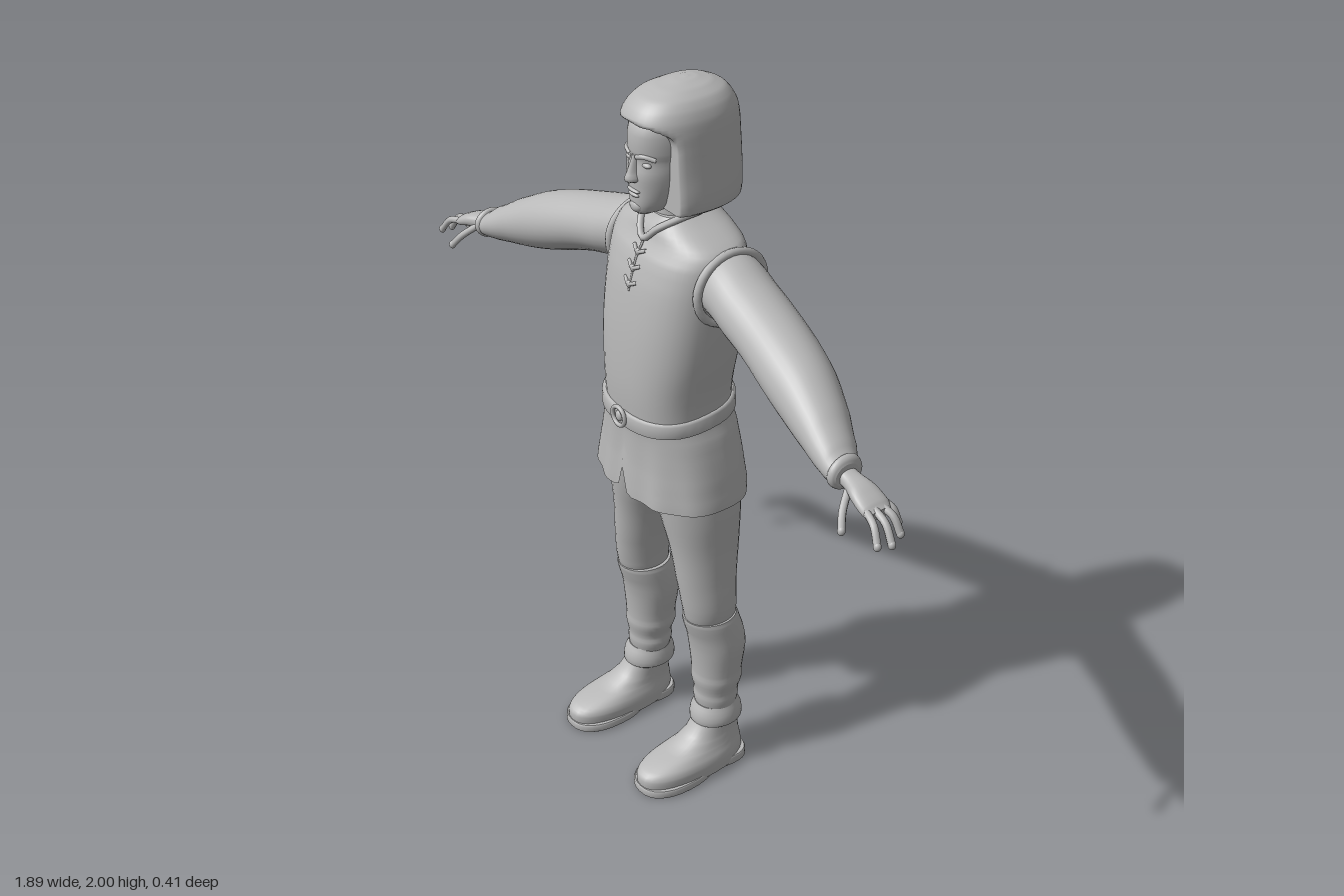
import * as THREE from 'three';

const grey = new THREE.MeshStandardMaterial({ color: 0xb8b8b8, side: THREE.DoubleSide });
grey.name = 'plain grey';

// Smooth interpolation through section rows
function refine(rows, sub) {
  const out = [];
  for (let i = 0; i < rows.length - 1; i++) {
    const p = [rows[Math.max(i - 1, 0)], rows[i], rows[i + 1], rows[Math.min(i + 2, rows.length - 1)]];
    for (let k = 0; k < sub; k++) {
      const t = k / sub;
      out.push(p[1].map((b, j) => {
        const a = p[0][j], c = p[2][j], d = p[3][j];
        if (j === 0) return b + (c - b) * t;
        return b + 0.5 * t * (c - a + t * (2 * a - 5 * b + 4 * c - d + t * (3 * (b - c) + d - a)));
      }));
    }
  }
  out.push(rows[rows.length - 1]);
  return out;
}

// Loft of rounded sections. Row: [position on axis, min1, max1, min2, max2]
// axis 'y' -> x,z extents; axis 'x' -> y,z extents
function loft(rows, { axis = 'y', n = 2, sub = 3, seg = 32, caps = true, mod = null } = {}) {
  const rings = refine(rows, sub), pos = [], idx = [];
  const bend = (v) => Math.sign(v) * Math.pow(Math.abs(v), 2 / n);
  const put = (r, u, w) => {
    const a = (r[1] + r[2]) / 2 + u * (r[2] - r[1]) / 2;
    const b = (r[3] + r[4]) / 2 + w * (r[4] - r[3]) / 2;
    const p = axis === 'y' ? new THREE.Vector3(a, r[0], b) : new THREE.Vector3(r[0], a, b);
    if (mod) mod(p, u, w);
    pos.push(p.x, p.y, p.z);
  };
  const s = axis === 'y' ? 1 : -1;
  const ring = (r) => {
    for (let j = 0; j < seg; j++) {
      const t = j / seg * Math.PI * 2;
      put(r, s * bend(Math.sin(t)), bend(Math.cos(t)));
    }
  };
  rings.forEach(ring);
  for (let i = 0; i < rings.length - 1; i++) for (let j = 0; j < seg; j++) {
    const a = i * seg + j, b = i * seg + (j + 1) % seg;
    idx.push(a, b, b + seg, a, b + seg, a + seg);
  }
  if (caps) [rings[0], rings[rings.length - 1]].forEach((r, end) => {
    const base = pos.length / 3;
    ring(r);
    put(r, 0, 0);
    for (let j = 0; j < seg; j++) {
      const a = base + j, b = base + (j + 1) % seg, c = base + seg;
      if (end) idx.push(a, b, c); else idx.push(b, a, c);
    }
  });
  const g = new THREE.BufferGeometry();
  g.setAttribute('position', new THREE.Float32BufferAttribute(pos, 3));
  g.setIndex(idx);
  g.computeVertexNormals();
  return g;
}

const tube = (pts, r, closed = false, seg = 16) => new THREE.TubeGeometry(
  new THREE.CatmullRomCurve3(pts.map((p) => new THREE.Vector3(...p)), closed), seg, r, 8, closed);

const ball = (x, y, z, a, b, c) => new THREE.SphereGeometry(1, 16, 12).scale(a, b, c).translate(x, y, z);

function mirrored(g) {
  const m = g.clone().scale(-1, 1, 1), ix = m.index;
  for (let i = 0; i < ix.count; i += 3) {
    const a = ix.getX(i);
    ix.setX(i, ix.getX(i + 2));
    ix.setX(i + 2, a);
  }
  return m;
}

export function createModel() {
  const model = new THREE.Group();
  const add = (name, g) => {
    const m = new THREE.Mesh(g, grey);
    m.name = name;
    model.add(m);
  };
  const pair = (name, g) => { add('left ' + name, g); add('right ' + name, mirrored(g)); };

  // Head, neck and face
  add('neck', loft([[1.58, -.06, .06, -.13, .03], [1.66, -.054, .054, -.11, .02], [1.76, -.055, .055, -.1, .02]]));
  add('head', loft([
    [1.684, -.02, .02, .03, .078], [1.692, -.036, .036, -.02, .087], [1.715, -.053, .053, -.07, .09],
    [1.75, -.066, .066, -.11, .09], [1.79, -.073, .073, -.13, .091], [1.825, -.076, .076, -.14, .085],
    [1.85, -.078, .078, -.14, .091], [1.91, -.075, .075, -.14, .086], [1.95, -.05, .05, -.11, .05]], { n: 2.2 }));
  add('nose', loft([[1.768, -.008, .008, .07, .094], [1.777, -.019, .019, .06, .112],
    [1.8, -.012, .012, .06, .105], [1.842, -.007, .007, .06, .09]], { seg: 16 }));
  add('upper lip', ball(0, 1.748, .088, .024, .005, .008));
  add('lower lip', ball(0, 1.737, .087, .02, .006, .008));
  add('chin', ball(0, 1.705, .079, .022, .017, .015));
  pair('eye', ball(.033, 1.82, .073, .015, .007, .009));
  pair('brow', tube([[.012, 1.838, .088], [.034, 1.844, .083], [.058, 1.838, .064]], .006));

  // Bobbed hair, cut back flat below the fringe so the face stands clear
  add('hair', loft([
    [1.698, -.118, .118, -.19, .09], [1.706, -.127, .127, -.2, .095], [1.74, -.128, .128, -.203, .1],
    [1.8, -.122, .122, -.203, .1], [1.86, -.117, .117, -.2, .1], [1.9, -.113, .113, -.198, .102],
    [1.93, -.107, .107, -.193, .1], [1.955, -.096, .096, -.18, .085], [1.975, -.079, .079, -.162, .06],
    [1.99, -.052, .052, -.13, .018], [1.998, -.022, .022, -.095, -.03], [2, -.004, .004, -.07, -.06]],
  {
    n: 2.3, sub: 5, seg: 48,
    mod: (p) => {
      const k = THREE.MathUtils.clamp((p.y - 1.85) / .078, 0, 1);
      p.z = Math.min(p.z, .03 + .08 * k ** 4);
    },
  }));

  // Sleeveless tunic top with collar, lacing and armhole seams
  add('tunic top', loft([
    [1.1, -.163, .163, -.16, .125], [1.2, -.165, .165, -.16, .13], [1.3, -.179, .179, -.171, .127],
    [1.4, -.187, .187, -.182, .118], [1.5, -.191, .191, -.188, .102], [1.57, -.193, .193, -.179, .08],
    [1.608, -.185, .185, -.167, .056], [1.635, -.135, .135, -.157, .045], [1.668, -.068, .068, -.14, .025]],
  { n: 2.5, seg: 40 }));
  add('collar', tube([[0, 1.612, .062], [.035, 1.645, .043], [.066, 1.672, -.01], [.063, 1.676, -.075],
    [0, 1.672, -.138], [-.063, 1.676, -.075], [-.066, 1.672, -.01], [-.035, 1.645, .043]], .009, true, 48));
  [[1.582, .074], [1.543, .09], [1.502, .102]].forEach(([y, z], i) => {
    add('lace ' + (i + 1), tube([[-.024, y + .006, z - .004], [0, y - .003, z + .004], [.024, y + .006, z - .004]], .005));
    add('lace knot ' + (i + 1), ball(0, y - .004, z + .003, .008, .01, .006));
  });
  add('front seam', tube([[0, 1.61, .058], [0, 1.56, .084], [0, 1.48, .106]], .003));
  pair('armhole seam', new THREE.TorusGeometry(.094, .011, 8, 32).rotateY(Math.PI / 2)
    .scale(1, 1, 1.08).translate(.184, 1.515, -.067));

  // Belt, a little lower at the front
  add('belt', loft([[1.115, -.168, .168, -.165, .132], [1.118, -.176, .176, -.172, .139],
    [1.152, -.174, .174, -.171, .139], [1.156, -.166, .166, -.165, .132]],
  { n: 2.4, sub: 1, seg: 40, mod: (p) => { p.y -= p.z * .09; } }));
  add('buckle ring', new THREE.TorusGeometry(.026, .006, 8, 24).translate(0, 1.128, .141));
  add('buckle centre', ball(0, 1.128, .139, .013, .015, .008));

  // Flared skirt with a notch at the middle of the front hem
  add('tunic skirt', loft([
    [1.13, -.166, .166, -.163, .13], [1.08, -.184, .184, -.171, .125], [1, -.204, .204, -.18, .125],
    [.94, -.216, .216, -.186, .129], [.893, -.224, .224, -.191, .132]].reverse(),
  {
    n: 2.4, sub: 4, seg: 96, caps: false,
    mod: (p, u, w) => {
      const low = THREE.MathUtils.clamp((1.1 - p.y) / .2, 0, 1);
      p.z += .004 * low * Math.sin(u * 14) * Math.sign(w);
      if (w > 0) p.y += .075 * low * Math.max(0, 1 - Math.abs(p.x) / .026);
    },
  }));
  add('hips', loft([[.875, -.06, .06, -.11, .04], [.9, -.165, .165, -.15, .08],
    [.95, -.19, .19, -.165, .1], [1.08, -.165, .165, -.155, .11]], { n: 2.4 }));

  // Sleeves and cuffs
  pair('sleeve', loft([
    [.15, 1.44, 1.605, -.155, .02], [.2, 1.433, 1.603, -.158, .024], [.27, 1.415, 1.58, -.152, .033],
    [.36, 1.39, 1.553, -.142, .042], [.46, 1.352, 1.523, -.127, .057], [.55, 1.323, 1.489, -.104, .068],
    [.64, 1.307, 1.44, -.066, .079], [.71, 1.298, 1.394, -.028, .086], [.75, 1.297, 1.365, -.004, .085]],
  { axis: 'x' }));
  pair('cuff', loft([[.738, 1.297, 1.368, -.006, .085], [.744, 1.291, 1.377, -.008, .09],
    [.757, 1.293, 1.372, -.004, .088], [.762, 1.303, 1.36, .01, .078]], { axis: 'x', sub: 2 }));

  // Hands
  pair('palm', loft([[.74, 1.308, 1.35, .018, .066], [.78, 1.302, 1.342, .014, .068],
    [.82, 1.296, 1.336, .008, .082], [.86, 1.283, 1.317, .005, .085], [.878, 1.28, 1.302, .012, .078]],
  { axis: 'x', n: 2.4, seg: 24 }));
  const fingers = {
    'little finger': [[.845, 1.3, .014], [.868, 1.284, 0], [.882, 1.25, -.008]],
    'ring finger': [[.86, 1.3, .03], [.893, 1.285, .02], [.915, 1.246, .014]],
    'middle finger': [[.86, 1.302, .052], [.905, 1.285, .053], [.936, 1.246, .058]],
    'index finger': [[.86, 1.3, .072], [.9, 1.288, .083], [.928, 1.252, .094]],
    thumb: [[.785, 1.313, .06], [.812, 1.282, .098], [.834, 1.25, .118]],
  };
  for (const [name, p] of Object.entries(fingers)) {
    pair(name, tube(p, .0095, false, 10));
    pair(name + ' tip', ball(...p[2], .0095, .0115, .0095));
  }

  // Legs: trousers, loose gaiters and rolled cuffs
  pair('trouser leg', loft([
    [.48, .1, .205, -.11, .02], [.515, .092, .214, -.118, .032], [.56, .087, .216, -.119, .04],
    [.64, .073, .21, -.126, .05], [.74, .05, .206, -.14, .06], [.84, .014, .209, -.15, .076],
    [.93, .002, .206, -.155, .085]]));
  pair('gaiter', loft([
    [.14, .108, .212, -.12, -.01], [.19, .102, .211, -.122, -.008], [.225, .093, .217, -.128, -.003],
    [.25, .096, .216, -.128, -.004], [.29, .084, .225, -.139, .003], [.32, .085, .224, -.138, .002],
    [.4, .075, .231, -.147, .009], [.45, .075, .228, -.14, .018], [.498, .079, .223, -.125, .032],
    [.512, .083, .219, -.12, .034]]));
  pair('gaiter hem', loft([[.142, .1, .217, -.13, .004], [.15, .091, .226, -.14, .011],
    [.18, .093, .223, -.137, .008], [.205, .102, .212, -.125, -.004]], { sub: 2 }));

  // Boots with sole and heel
  pair('boot', loft([
    [.012, .095, .242, -.136, .2], [.045, .094, .242, -.136, .202], [.062, .098, .237, -.134, .188],
    [.076, .104, .229, -.132, .145], [.09, .109, .222, -.129, .085], [.115, .112, .214, -.126, .035],
    [.16, .112, .208, -.122, .002]], { n: 2.3 }));
  pair('sole', loft([[0, .092, .245, -.03, .203], [.004, .088, .248, -.034, .206], [.02, .088, .248, -.034, .206],
    [.024, .092, .245, -.03, .203]], { n: 2.3, sub: 1 }));
  pair('heel', loft([[0, .108, .23, -.138, -.02], [.004, .105, .233, -.141, -.017], [.024, .105, .233, -.141, -.017],
    [.028, .108, .23, -.138, -.02]], { n: 2.6, sub: 1 }));

  return model;
}
